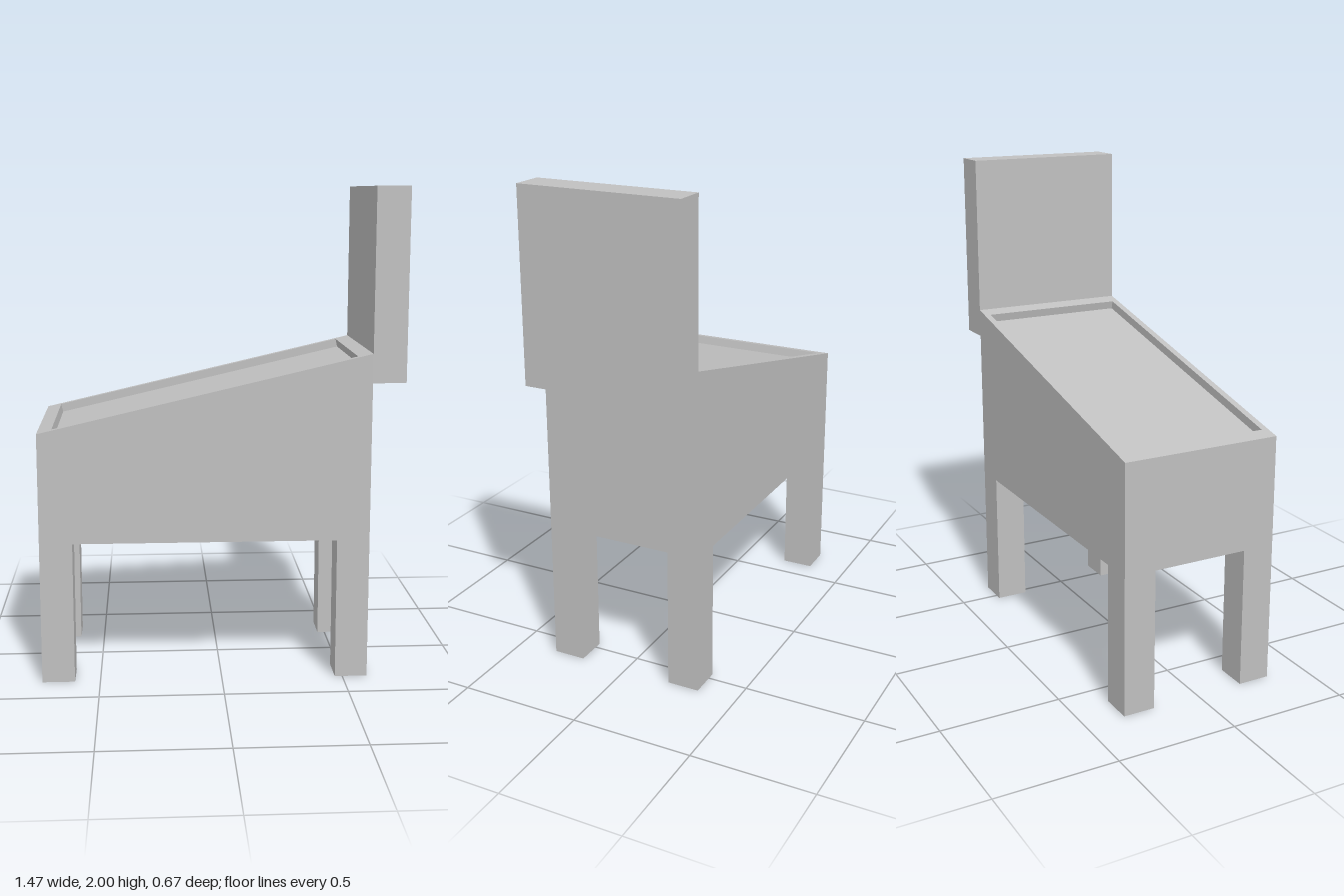
import * as THREE from 'three';

const X0 = -0.737, X1 = 0.602, HALF_Z = 0.334; // cabinet extents
const BASE = 0.583, LOW = 1.035, HIGH = 1.345; // underside and sloped top

export function createModel() {
  const grey = new THREE.MeshStandardMaterial({ color: 0xc0c0c0 });
  grey.name = 'plain grey';
  const model = new THREE.Group();
  model.name = 'slopedTableMachine';

  const add = (parent, name, geometry, x = 0, y = 0, z = 0) => {
    const mesh = new THREE.Mesh(geometry, grey);
    mesh.name = name;
    mesh.position.set(x, y, z);
    parent.add(mesh);
  };

  // Side profile extruded across the width
  const slab = (points, depth) => new THREE.ExtrudeGeometry(
    new THREE.Shape(points.map(([x, y]) => new THREE.Vector2(x, y))),
    { depth, bevelEnabled: false });

  // Cabinet: a notched core between two full-height side walls
  const cabinet = new THREE.Group();
  cabinet.name = 'cabinet';
  model.add(cabinet);

  const slope = (HIGH - LOW) / (X1 - X0);
  const angle = Math.atan(slope);
  const topAt = (x) => LOW + slope * (x - X0);
  const sink = 0.035, dx = sink * Math.sin(angle), dy = sink * Math.cos(angle);
  const r0 = -0.678, r1 = 0.545, innerZ = 0.306;

  const outline = [[X0, BASE], [X1, BASE], [X1, HIGH], [X0, LOW]];
  const notched = [
    [X0, BASE], [X1, BASE], [X1, HIGH],
    [r1, topAt(r1)], [r1 + dx, topAt(r1) - dy],
    [r0 + dx, topAt(r0) - dy], [r0, topAt(r0)], [X0, LOW],
  ];
  add(cabinet, 'recessedPlayfield', slab(notched, innerZ * 2), 0, 0, -innerZ);
  add(cabinet, 'leftWall', slab(outline, HALF_Z - innerZ), 0, 0, innerZ);
  add(cabinet, 'rightWall', slab(outline, HALF_Z - innerZ), 0, 0, -HALF_Z);

  // Upright back box
  const boxW = 0.135, boxBottom = 1.227;
  add(model, 'backBox', new THREE.BoxGeometry(boxW, 2 - boxBottom, HALF_Z * 2),
    X1 + boxW / 2, (2 + boxBottom) / 2, 0);

  // Four square legs flush with the cabinet corners
  const leg = 0.133;
  for (const x of [X0 + leg / 2, X1 - leg / 2]) {
    for (const side of [-1, 1]) {
      add(model, 'leg', new THREE.BoxGeometry(leg, BASE, leg),
        x, BASE / 2, side * (HALF_Z - leg / 2));
    }
  }
  return model;
}
